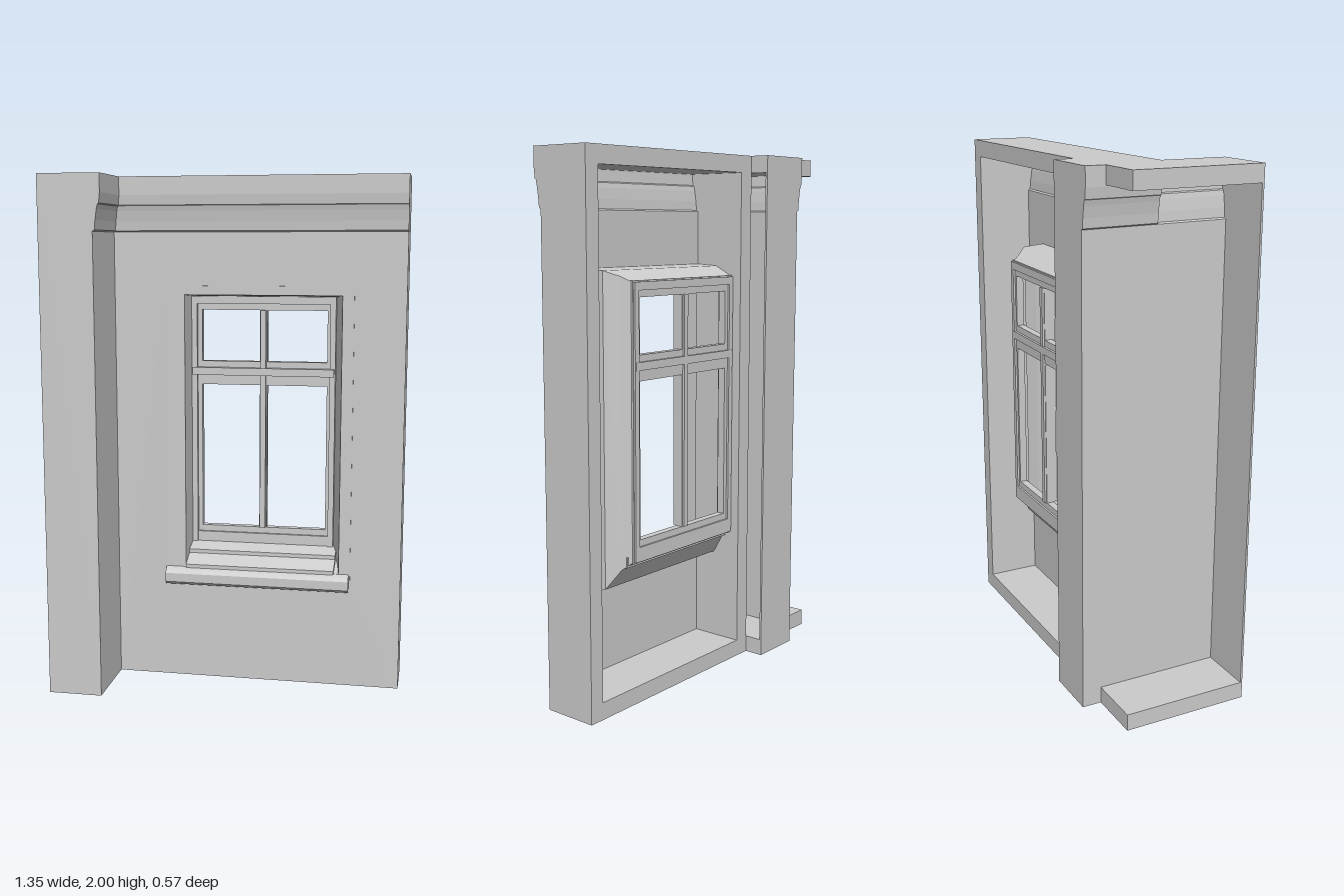
import * as THREE from 'three';

export function createModel() {
  const group = new THREE.Group();
  const mat = new THREE.MeshStandardMaterial({ color: 0xcccccc, side: THREE.DoubleSide, flatShading: true });
  const add = (name, geo, x = 0, y = 0, z = 0) => {
    const m = new THREE.Mesh(geo, mat);
    m.name = name;
    m.position.set(x, y, z);
    group.add(m);
    return m;
  };
  const box = (name, x0, x1, y0, y1, z0, z1) =>
    add(name, new THREE.BoxGeometry(x1 - x0, y1 - y0, z1 - z0), (x0 + x1) / 2, (y0 + y1) / 2, (z0 + z1) / 2);
  const shapeOf = pts => new THREE.Shape(pts.map(p => new THREE.Vector2(...p)));
  const extrude = (pts, depth) => new THREE.ExtrudeGeometry(shapeOf(pts), { depth, bevelEnabled: false });

  // Skin stretched over rows of points
  const loft = rows => {
    const n = rows[0].length, idx = [];
    for (let i = 0; i < rows.length - 1; i++)
      for (let j = 0; j < n - 1; j++) {
        const a = i * n + j, b = a + n;
        idx.push(a, a + 1, b + 1, a, b + 1, b);
      }
    const g = new THREE.BufferGeometry();
    g.setAttribute('position', new THREE.Float32BufferAttribute(rows.flat(2), 3));
    g.setIndex(idx);
    g.computeVertexNormals();
    return g;
  };

  const R = 0.672, L = -0.675, C = -0.465, F = 0.285, B = -0.21;
  // Cornice profile: [projection, height]
  const cornice = [[0, 1.79], [0.008, 1.795], [0.011, 1.83], [0.017, 1.87], [0.021, 1.888], [0.026, 1.892], [0.03, 1.93], [0.03, 2]];
  const profile = [[0, 0], ...cornice];

  // Window extents
  const W = { x0: -0.265, x1: 0.475, y0: 0.39, y1: 1.585 };
  const rect = (x0, x1, y0, y1, z) => [[x0, y0, z], [x1, y0, z], [x1, y1, z], [x0, y1, z], [x0, y0, z]];

  // Main wall face with window opening
  const face = shapeOf([[C, 0], [R, 0], [R, 1.79], [C, 1.79]]);
  face.holes.push(new THREE.Path(rect(W.x0, W.x1, W.y0, W.y1, 0).map(p => new THREE.Vector2(p[0], p[1]))));
  add('wallFace', new THREE.ShapeGeometry(face));

  // Return walls either side of the corner
  add('frontReturnWall', loft([0, 1.79].map(y => [[C, y, 0], [C, y, F]])));
  add('rearReturnWall', loft(profile.map(([o, y]) => [[C - o, y, 0], [C - o, y, -F]])));

  // Cornice mitred round the inner corner
  add('cornice', loft(cornice.map(([o, y]) => [[R, y, o], [C + o, y, o], [C + o, y, F]])));

  // Top and bottom plates
  const plate = (name, o, y) => {
    const pts = [[L, F], [C + o, F], [C + o, o], [R, o], [R, B], [-0.255, B], [-0.255, -F], [C - o, -F], [C - o, B], [L, B]];
    add(name, extrude(pts, 0.065), 0, y + 0.065).rotation.x = Math.PI / 2;
  };
  plate('basePlate', 0, 0);
  plate('topPlate', 0.03, 1.935);

  // End caps following the cornice profile
  const cap = (at, sign, back) => [[back, 0], ...profile.map(([o, y]) => [at + sign * o, y]), [back, 2]];
  add('frontEndCap', extrude(cap(C, 1, L), 0.008), 0, 0, F - 0.008);
  add('rearEndCap', extrude(cap(C, -1, -0.255), 0.008), 0, 0, -F);
  add('rightEndWall', extrude(cap(0, 1, B), 0.06), R).rotation.y = -Math.PI / 2;
  add('innerDivider', extrude(cap(0, 1, B), 0.065), -0.19).rotation.y = -Math.PI / 2;

  // Window casing: reveal, rear splay and outer box in one ring
  add('windowCasing', loft([
    rect(W.x0, W.x1, W.y0, W.y1, 0),
    rect(W.x0, W.x1, W.y0, W.y1, 0.004),
    rect(-0.185, 0.43, 0.46, 1.55, 0.004),
    rect(-0.185, 0.42, 0.48, 1.545, -0.06),
    rect(-0.185, 0.395, 0.52, 1.54, -0.14),
    rect(-0.185, 0.395, 0.52, 1.54, -0.165),
    rect(-0.21, 0.42, 0.49, 1.56, -0.13),
    rect(W.x0 + 0.01, W.x1 - 0.01, W.y0 + 0.03, W.y1 - 0.005, -0.09),
    rect(W.x0, W.x1, W.y0, W.y1, 0)
  ]));

  // Sloped sill: the ledge runs inside the reveal, the nose runs full width
  const sill = (name, pts, x0, x1) => add(name, extrude(pts, x1 - x0), x1).rotation.y = -Math.PI / 2;
  sill('sillSlope', [[0.01, 0.44], [0.01, 0.47], [-0.06, 0.5], [-0.06, 0.515], [-0.15, 0.54], [-0.15, 0.5]], -0.185, 0.41);
  sill('sillNose', [[-0.01, 0.39], [0.022, 0.39], [0.03, 0.4], [0.03, 0.435], [0.022, 0.45], [-0.01, 0.465]], W.x0, 0.47);

  // Window frame with four panes
  const frame = shapeOf([[-0.187, 0.515], [0.397, 0.515], [0.397, 1.545], [-0.187, 1.545]]);
  for (const [x0, x1] of [[-0.145, 0.09], [0.12, 0.36]])
    for (const [y0, y1] of [[0.6, 1.185], [1.28, 1.485]])
      frame.holes.push(new THREE.Path(rect(x0, x1, y0, y1, 0).map(p => new THREE.Vector2(p[0], p[1]))));
  add('windowFrame', new THREE.ExtrudeGeometry(frame, { depth: 0.03, bevelEnabled: false }), 0, 0, -0.17);

  // Raised mouldings on the frame
  box('transomLedge', -0.18, 0.39, 1.225, 1.255, -0.18, -0.115);
  box('mullionBead', 0.094, 0.116, 0.6, 1.485, -0.178, -0.125);
  box('lowerRail', -0.18, 0.39, 0.52, 0.575, -0.178, -0.13);
  box('upperRail', -0.18, 0.39, 1.51, 1.54, -0.178, -0.125);
  for (const x of [-0.185, 0.372]) box('frameStile', x, x + 0.022, 0.52, 1.54, -0.178, -0.125);

  return group;
}
